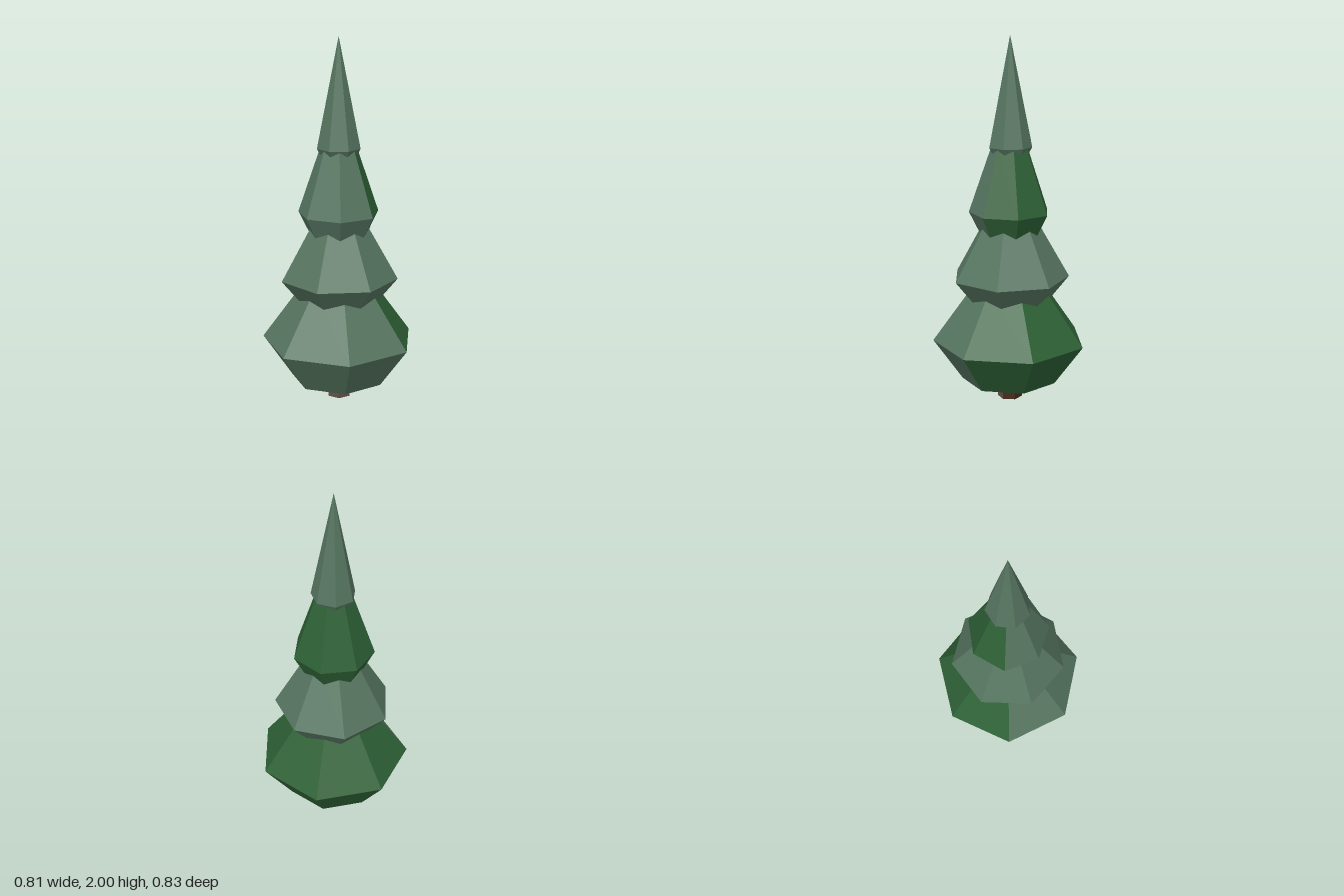
import * as THREE from 'three';

const material = (color) => new THREE.MeshStandardMaterial({
  color, flatShading: true, roughness: 0.9, side: THREE.DoubleSide,
});
const green = material(0x2d6035);
const greyGreen = material(0x567560);
const brown = material(0x452b1c);
const greyBrown = material(0x625048);

// Faceted shell from a bottom-to-top profile of [radius, y];
// the faces run from angle `start` (degrees, from +x towards +z)
function shell(name, profile, sides, start, count, mat) {
  const step = (Math.PI * 2) / sides;
  const points = profile.map(([r, y]) => new THREE.Vector2(r, y));
  const phiStart = Math.PI / 2 - THREE.MathUtils.degToRad(start) - count * step;
  const geometry = new THREE.LatheGeometry(points, count, phiStart, count * step);
  const mesh = new THREE.Mesh(geometry, mat);
  mesh.name = name;
  return mesh;
}

// Shell whose front faces and remaining faces have different colours
function twoToneShell(name, profile, sides, start, frontMat, backMat) {
  const group = new THREE.Group();
  group.name = name;
  const next = start + (3 * 360) / sides;
  group.add(
    shell(name + 'Front', profile, sides, start, 3, frontMat),
    shell(name + 'Back', profile, sides, next, sides - 3, backMat),
  );
  return group;
}

export function createModel() {
  const tree = new THREE.Group();
  tree.name = 'tree';
  tree.position.x = -0.022;

  // Trunk, closed at both ends
  const trunk = [[0, 0], [0.068, 0], [0.068, 0.5], [0, 0.5]];
  tree.add(twoToneShell('trunk', trunk, 6, 0, greyBrown, brown));

  // Foliage tiers: open skirt below, widest ring, then a taper hidden in the next tier
  const tiers = [
    { name: 'lowestFoliage', start: 0, back: green,
      profile: [[0.264, 0.11], [0.425, 0.335], [0.19, 0.66], [0, 0.66]] },
    { name: 'lowerFoliage', start: -23.2, back: greyGreen,
      profile: [[0.2, 0.542], [0.324, 0.695], [0.13, 1.035], [0, 1.035]] },
    { name: 'upperFoliage', start: 5.2, back: green,
      profile: [[0.14, 0.89], [0.223, 1.055], [0.099, 1.415], [0, 1.415]] },
    { name: 'topFoliage', start: -18.3, back: greyGreen,
      profile: [[0.074, 1.33], [0.119, 1.41], [0, 2]] },
  ];
  for (const { name, profile, start, back } of tiers) {
    tree.add(twoToneShell(name, profile, 7, start, greyGreen, back));
  }

  const model = new THREE.Group();
  model.name = 'model';
  model.add(tree);
  return model;
}
